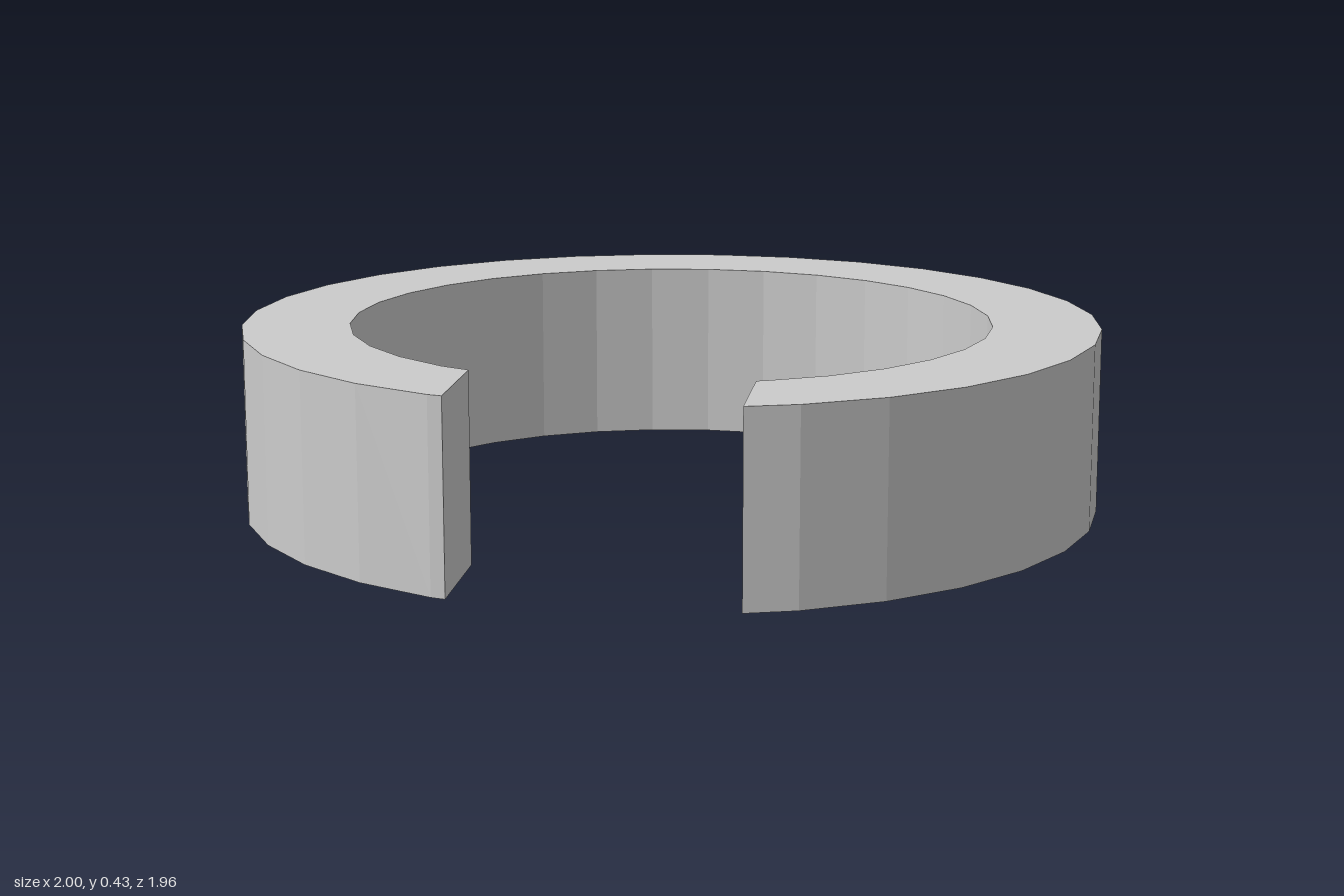
import * as THREE from 'three';

const SIDES = 32, OUTER = 1, INNER = 0.75, HEIGHT = 0.43, CENTRE_Z = 0.021;
const GAP_LEFT = 0.27, GAP_RIGHT = -0.35; // x of the two straight cuts at the front

// Corner k of a 32-sided circle, counted from the front (+z) towards +x
const corner = (radius, k) => {
  const t = (k / SIDES) * Math.PI * 2;
  return new THREE.Vector2(radius * Math.sin(t), -radius * Math.cos(t));
};

// Where the polygon's front edge meets the cut at x
function cutPoint(radius, x) {
  const k = Math.floor((Math.asin(x / radius) / (Math.PI * 2)) * SIDES);
  const a = corner(radius, k), b = corner(radius, k + 1);
  return a.lerp(b, (x - a.x) / (b.x - a.x));
}

// Open polygon running from the left cut, round the back, to the right cut
function openArc(radius) {
  const points = [cutPoint(radius, GAP_LEFT)];
  for (let k = 1; k < SIDES; k++) {
    const p = corner(radius, k);
    const inGap = p.y < 0 && p.x < GAP_LEFT && p.x > GAP_RIGHT;
    if (!inGap) points.push(p);
  }
  points.push(cutPoint(radius, GAP_RIGHT));
  return points;
}

export function createModel() {
  const group = new THREE.Group();
  group.name = 'openRing';

  // Split ring: outer arc out, inner arc back, extruded upwards
  const shape = new THREE.Shape([...openArc(OUTER), ...openArc(INNER).reverse()]);
  const geometry = new THREE.ExtrudeGeometry(shape, { depth: HEIGHT, bevelEnabled: false });
  geometry.rotateX(-Math.PI / 2);
  geometry.translate(0, 0, CENTRE_Z);

  const material = new THREE.MeshStandardMaterial({ color: 0xcccccc, flatShading: true });
  const ring = new THREE.Mesh(geometry, material);
  ring.name = 'splitRing';
  group.add(ring);
  return group;
}
